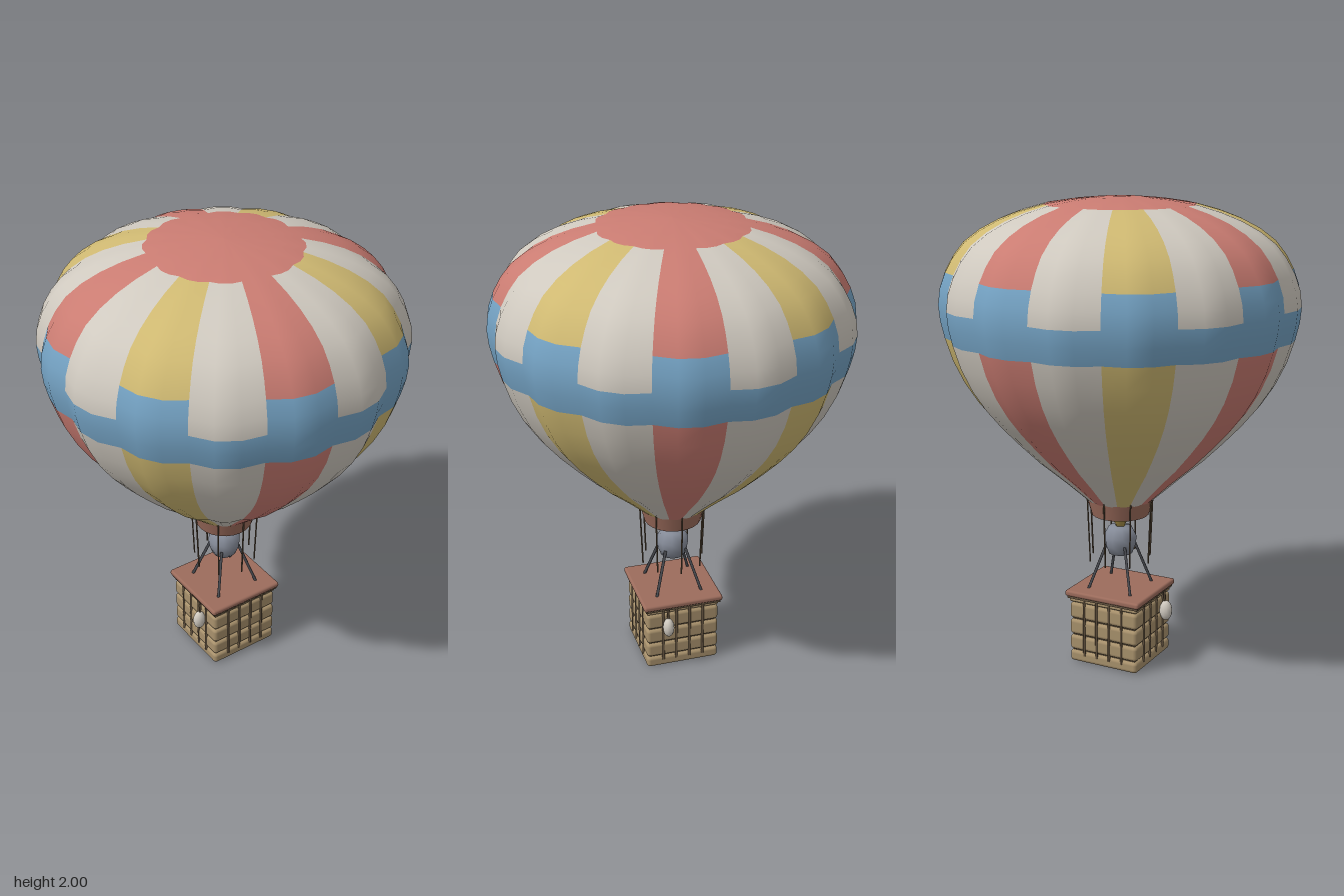
import * as THREE from 'three';
import { RoundedBoxGeometry } from 'three/addons/geometries/RoundedBoxGeometry.js';

const mat = (name, color, side = THREE.FrontSide) => {
  const m = new THREE.MeshStandardMaterial({ color, side });
  m.name = name;
  return m;
};

// Envelope: 16 bulging gores, three columns each, one material group per colour.
function envelopeGeometry() {
  const profile = [
    [0.135, 0.72], [0.19, 0.77], [0.25, 0.825], [0.36, 0.92], [0.445, 1.005], [0.52, 1.085],
    [0.585, 1.165], [0.64, 1.25], [0.685, 1.345], [0.715, 1.44], [0.731, 1.51], [0.737, 1.575],
    [0.729, 1.64], [0.706, 1.705], [0.673, 1.765], [0.63, 1.82], [0.565, 1.87], [0.49, 1.91],
    [0.405, 1.943], [0.31, 1.97], [0.21, 1.986], [0.1, 1.997], [0, 2.0],
  ];
  const bandStart = 9, bandLow = 11, bandHigh = 13, capStart = 19;
  const cols = 48, pos = [], buckets = [[], [], [], []];
  for (const [r, y] of profile) {
    for (let c = 0; c < cols; c++) {
      const a = (c / cols) * Math.PI * 2;
      const s = r * (c % 3 === 0 ? 0.978 : 1.011);
      pos.push(s * Math.cos(a), y, s * Math.sin(a));
    }
  }
  // buckets: 0 white, 1 red, 2 yellow, 3 blue
  const stripe = [1, 0, 2, 0];
  for (let j = 0; j < profile.length - 1; j++) {
    for (let c = 0; c < cols; c++) {
      const gore = Math.floor(c / 3), base = stripe[gore % 4];
      const bandEnd = base === 0 ? bandLow : bandHigh;
      const k = j >= capStart ? 1 : j >= bandStart && j < bandEnd ? 3 : base;
      const n = (c + 1) % cols;
      const p = j * cols + c, q = j * cols + n, u = p + cols, v = q + cols;
      buckets[k].push(p, u, q, q, u, v);
    }
  }
  const g = new THREE.BufferGeometry();
  g.setAttribute('position', new THREE.Float32BufferAttribute(pos, 3));
  g.setIndex(buckets.flat());
  let start = 0;
  buckets.forEach((b, i) => { g.addGroup(start, b.length, i); start += b.length; });
  g.computeVertexNormals();
  return g;
}

export function createModel() {
  const model = new THREE.Group();
  model.name = 'hotAirBalloon';
  const white = mat('cream', 0xcfc9bf, THREE.DoubleSide);
  const red = mat('coral', 0xca7c72, THREE.DoubleSide);
  const yellow = mat('straw', 0xcfb972, THREE.DoubleSide);
  const blue = mat('skyBlue', 0x74a2c3, THREE.DoubleSide);
  const brown = mat('leather', 0x9c6c5c, THREE.DoubleSide);
  const wicker = mat('wicker', 0xa8916c);
  const dark = mat('darkWicker', 0x665541);
  const metal = mat('metal', 0x858b98);
  const iron = mat('iron', 0x4c4e54);
  const brass = mat('brass', 0xa89048);

  const add = (name, geometry, material, x = 0, y = 0, z = 0, parent = model) => {
    const m = new THREE.Mesh(geometry, material);
    m.name = name;
    m.position.set(x, y, z);
    parent.add(m);
    return m;
  };
  const rod = (name, from, to, radius, material, parent = model) => {
    const a = new THREE.Vector3(...from), b = new THREE.Vector3(...to);
    const d = b.clone().sub(a);
    const m = add(name, new THREE.CylinderGeometry(radius, radius, d.length(), 6), material, 0, 0, 0, parent);
    m.position.copy(a).add(b).multiplyScalar(0.5);
    m.quaternion.setFromUnitVectors(new THREE.Vector3(0, 1, 0), d.normalize());
    return m;
  };
  const lathe = (pts, n) => new THREE.LatheGeometry(pts.map(p => new THREE.Vector2(...p)), n);

  add('envelope', envelopeGeometry(), [white, red, yellow, blue]);
  add('collar', new THREE.CylinderGeometry(0.143, 0.123, 0.07, 24, 1, true), brown, 0, 0.692, 0);

  // Hanging ropes around the collar
  for (let i = 0; i < 8; i++) {
    const a = (i * Math.PI) / 4, c = Math.cos(a), s = Math.sin(a);
    rod('rope', [0.147 * c, 0.74, 0.147 * s], [0.135 * c, 0.45, 0.135 * s], 0.0035, dark);
  }

  // Burner with its nozzle and four struts
  add('burner', lathe([[0, 0.478], [0.052, 0.478], [0.066, 0.515], [0.072, 0.555],
    [0.05, 0.597], [0, 0.602]], 10), metal);
  add('nozzle', lathe([[0, 0.595], [0.02, 0.598], [0.022, 0.612], [0.034, 0.625],
    [0.03, 0.632], [0.01, 0.645], [0, 0.646]], 10), brass);
  for (const x of [-1, 1]) for (const z of [-1, 1]) {
    rod('strut', [0.045 * x, 0.52, 0.045 * z], [0.102 * x, 0.325, 0.102 * z], 0.0065, iron);
  }

  // Woven basket: dark core, padded rows and upright canes on each side
  const basket = new THREE.Group();
  basket.name = 'basket';
  model.add(basket);
  add('core', new THREE.BoxGeometry(0.3, 0.29, 0.3), dark, 0, 0.155, 0, basket);
  const rows = [[0.002, 0.053], [0.056, 0.123], [0.127, 0.197], [0.201, 0.274], [0.277, 0.298]];
  for (const [lo, hi] of rows) {
    const h = hi - lo;
    add('wickerRow', new RoundedBoxGeometry(0.326, h, 0.326, 2, Math.min(0.016, h * 0.4)),
      wicker, 0, (lo + hi) / 2, 0, basket);
  }
  for (let side = 0; side < 4; side++) {
    const face = new THREE.Group();
    face.name = 'basketSide';
    face.rotation.y = (side * Math.PI) / 2;
    basket.add(face);
    for (const x of [-0.09, -0.03, 0.03, 0.09]) {
      rod('cane', [x, 0.035, 0.161], [x, 0.295, 0.161], 0.006, dark, face);
    }
  }
  add('lid', new RoundedBoxGeometry(0.356, 0.026, 0.356, 2, 0.01), brown, 0, 0.317, 0, basket);
  add('lidTrim', new THREE.BoxGeometry(0.338, 0.012, 0.338), dark, 0, 0.3, 0, basket);

  // Sandbags hanging on both sides
  for (const x of [-1, 1]) {
    const bag = add('sandbag', new THREE.SphereGeometry(1, 12, 8), white, 0.186 * x, 0.218, 0.073);
    bag.scale.set(0.029, 0.045, 0.025);
    rod('sandbagCord', [0.178 * x, 0.305, 0.073], [0.183 * x, 0.25, 0.073], 0.005, dark);
  }
  return model;
}
